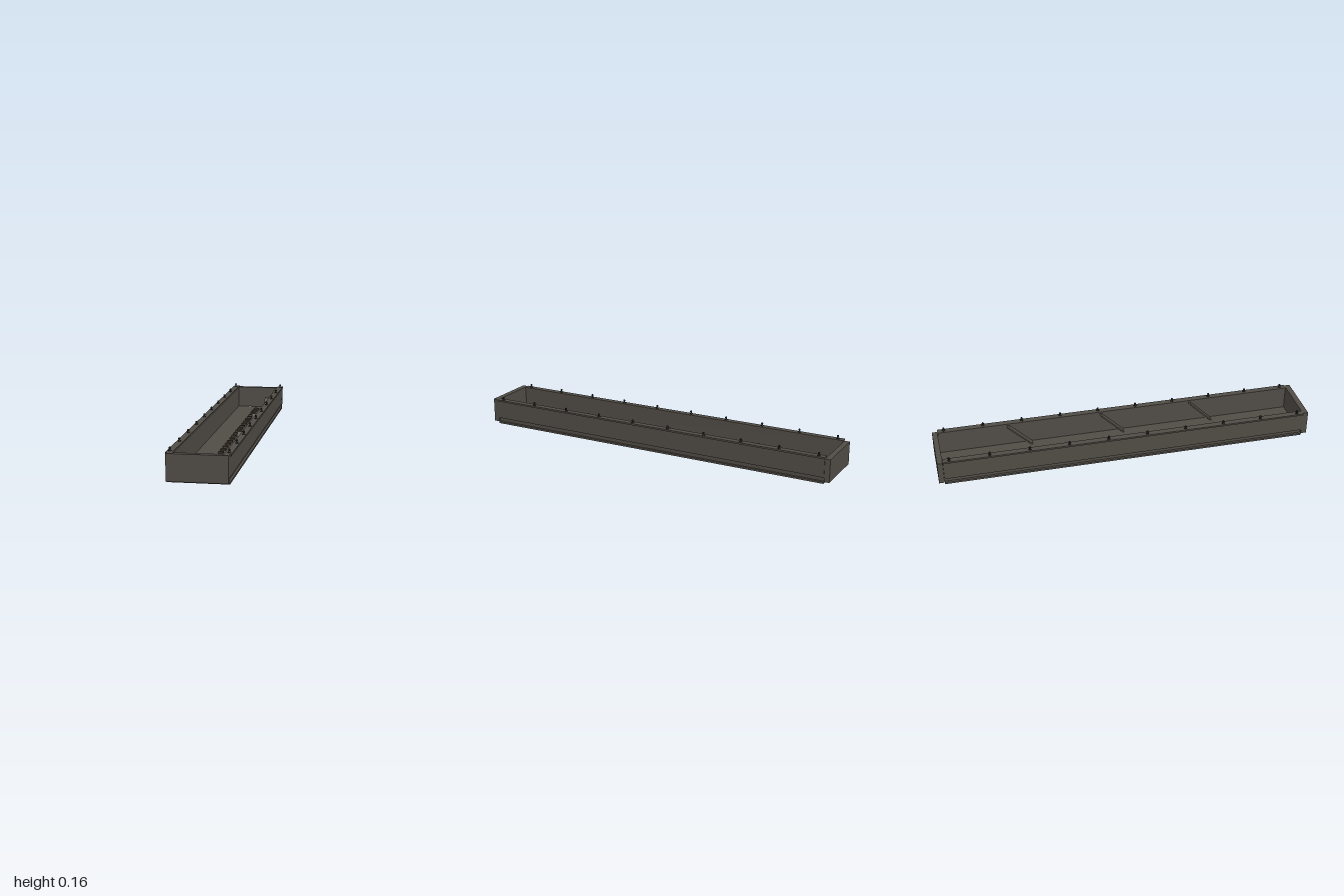
import * as THREE from 'three';

const mat = (name, color) => {
  const m = new THREE.MeshStandardMaterial({ color });
  m.name = name;
  return m;
};

export function createModel() {
  const model = new THREE.Group();
  model.name = 'trough';
  const steel = mat('weathered steel', 0x504c46);
  const cleatBrown = mat('cleat brown', 0x483d33);
  const studBlack = mat('stud black', 0x1d1d1c);

  // Box given by its minimum and maximum corners
  const box = (name, material, [x0, y0, z0], [x1, y1, z1], parent = model) => {
    const mesh = new THREE.Mesh(new THREE.BoxGeometry(x1 - x0, y1 - y0, z1 - z0), material);
    mesh.position.set((x0 + x1) / 2, (y0 + y1) / 2, (z0 + z1) / 2);
    mesh.name = name;
    parent.add(mesh);
    return mesh;
  };

  // Floor and end panels
  box('floor', steel, [-0.146, 0, -0.97], [0.146, 0.01, 0.97]);
  box('frontPanel', steel, [-0.145, 0.01, 0.97], [0.145, 0.14, 1]);
  box('backPanel', steel, [-0.145, 0.01, -1], [0.145, 0.131, -0.972]);

  // Side wall section: recessed foot, main wall and overhanging rim
  const section = new THREE.Shape([
    [0.125, 0.01], [0.134, 0.01], [0.134, 0.032], [0.145, 0.032], [0.145, 0.131],
    [0.152, 0.131], [0.152, 0.14], [0.119, 0.14], [0.119, 0.131], [0.125, 0.131],
  ].map(([x, y]) => new THREE.Vector2(x, y)));
  const wallGeo = new THREE.ExtrudeGeometry(section, { depth: 1.942, bevelEnabled: false });
  wallGeo.translate(0, 0, -0.971);

  // Studs along both rims: flared foot, thin neck and round head
  const studGeo = new THREE.LatheGeometry([
    [0, 0], [0.008, 0], [0.0035, 0.007], [0.0035, 0.0085], [0.0055, 0.0105],
    [0.0055, 0.0155], [0.004, 0.0175], [0, 0.0175],
  ].map(([x, y]) => new THREE.Vector2(x, y)), 10);

  for (const side of [1, -1]) {
    const label = side > 0 ? 'left' : 'right';
    const wall = new THREE.Mesh(wallGeo, steel);
    wall.name = label + 'Wall';
    if (side < 0) wall.rotation.y = Math.PI;
    model.add(wall);
    for (let i = 0; i < 10; i++) {
      const stud = new THREE.Mesh(studGeo, studBlack);
      stud.name = label + 'Stud';
      stud.position.set(side * 0.138, 0.14, -0.938 + i * 0.2084);
      model.add(stud);
    }
  }

  // Row of cleats down the middle of the floor
  for (let i = 0; i < 26; i++) {
    const z = -0.87 + i * 0.0695;
    box('floorCleat', cleatBrown, [-0.014, 0.01, z - 0.012], [0.014, 0.018, z + 0.012]);
  }

  // Sloping braces against the inside of the left wall
  const brace = new THREE.Shape([
    [0, 0.131], [0.01, 0.131], [0.132, 0.01], [0.122, 0.01],
  ].map(([z, y]) => new THREE.Vector2(-z, y)));
  const braceGeo = new THREE.ExtrudeGeometry(brace, { depth: 0.035, bevelEnabled: false });
  braceGeo.rotateY(Math.PI / 2);
  for (const z of [-0.605, -0.1, 0.4]) {
    const mesh = new THREE.Mesh(braceGeo, steel);
    mesh.name = 'brace';
    mesh.position.set(0.09, 0, z);
    model.add(mesh);
  }
  return model;
}
